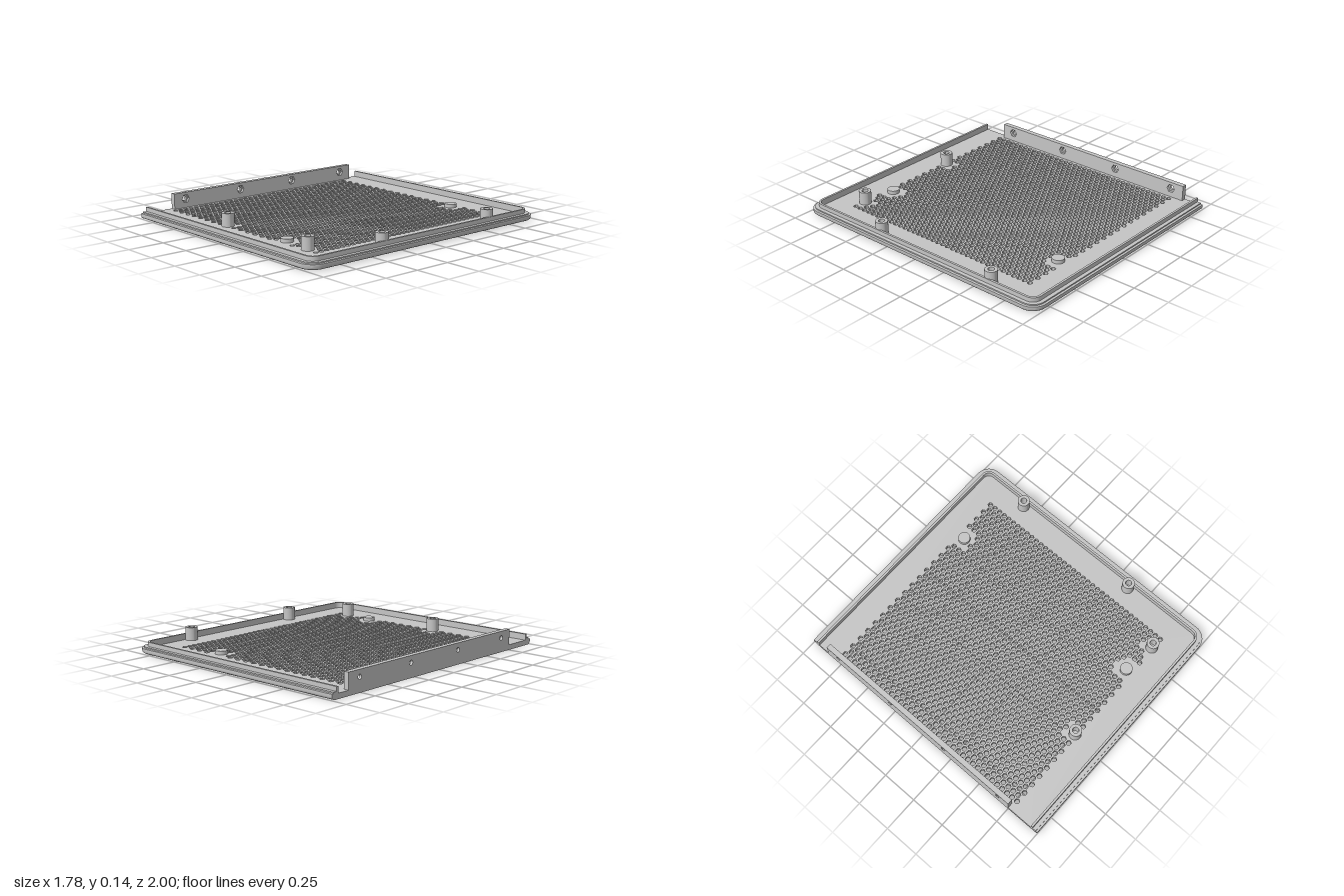
import * as THREE from 'three';
import { toCreasedNormals } from 'three/addons/utils/BufferGeometryUtils.js';

const X = 0.89, Z = 1, R = 0.1;            // half sizes and corner radius
const FLOOR = 0.035, LIP_IN = 0.055;       // floor height, inner inset of the lip
const grey = new THREE.MeshStandardMaterial({ color: 0xc5c5c5 });
grey.name = 'light grey plastic';

function add(parent, name, geometry, x = 0, y = 0, z = 0) {
  const mesh = new THREE.Mesh(geometry, grey);
  mesh.name = name;
  mesh.position.set(x, y, z);
  parent.add(mesh);
}

// Regular polygon path, first corner on the +x axis
function polygon(cx, cy, r, sides) {
  const pts = [];
  for (let i = 0; i < sides; i++) {
    const a = (i / sides) * Math.PI * 2;
    pts.push(new THREE.Vector2(cx + r * Math.cos(a), cy + r * Math.sin(a)));
  }
  return new THREE.Path(pts);
}

// Stations along the three finished edges: corner centre plus outward direction
function rimStations() {
  const s = [[-X, -Z + R, -Math.PI / 2]];
  const n = 10;
  for (const side of [-1, 1]) {
    for (let i = 0; i <= n; i++) {
      const a = (i / n) * Math.PI / 2 - (side < 0 ? Math.PI / 2 : 0);
      s.push([X - R, side * (Z - R), a]);
    }
  }
  s.push([-X, Z - R, Math.PI / 2]);
  return s;
}

const offset = ([cx, cz, a], inset) =>
  [cx + Math.cos(a) * (R - inset), cz + Math.sin(a) * (R - inset)];

// Rounded, stepped rim with an upright lip, swept around three sides
function rimGeometry() {
  const section = [[LIP_IN, 0]];           // [inset, y]
  for (let i = 0; i <= 6; i++) {
    const a = (i / 6) * Math.PI / 2;
    section.push([0.03 * (1 - Math.sin(a)), 0.02 * (1 - Math.cos(a))]);
  }
  section.push([0, 0.038], [0.014, 0.04], [0.014, 0.048], [0.04, 0.048],
    [0.04, 0.077], [LIP_IN, 0.077], [LIP_IN, FLOOR]);

  const stations = rimStations(), n = section.length, pos = [], idx = [];
  for (const st of stations) {
    for (const [inset, y] of section) {
      const [x, z] = offset(st, inset);
      pos.push(x, y, z);
    }
  }
  for (let i = 0; i < stations.length - 1; i++) {
    for (let j = 0; j < n - 1; j++) {
      const a = i * n + j, b = a + 1, c = a + n, d = c + 1;
      idx.push(a, b, c, b, d, c);
    }
  }
  // End caps on the open side
  const flat = section.map(([inset, y]) => new THREE.Vector2(-inset, y));
  const last = (stations.length - 1) * n;
  for (const [a, b, c] of THREE.ShapeUtils.triangulateShape(flat, [])) {
    idx.push(a, c, b, last + a, last + b, last + c);
  }
  const g = new THREE.BufferGeometry();
  g.setAttribute('position', new THREE.Float32BufferAttribute(pos, 3));
  g.setIndex(idx);
  return toCreasedNormals(g, 0.6);
}

// Floor plate with a honeycomb of vents, left solid around the posts
function floorGeometry(posts) {
  const outline = rimStations().map((st) => {
    const [x, z] = offset(st, LIP_IN);
    return new THREE.Vector2(x, -z);
  });
  const shape = new THREE.Shape(outline.reverse());
  const dx = 0.037, dz = 0.0427;
  for (let c = 0; c <= 40; c++) {
    const odd = c % 2;
    for (let r = 0; r < 37 - odd; r++) {
      const x = -0.82 + c * dx, z = -0.77 + (r + odd / 2) * dz;
      if (posts.some(([px, pz]) => Math.hypot(px - x, pz - z) < 0.07)) continue;
      shape.holes.push(polygon(x, -z, 0.0177, 6));
    }
  }
  const g = new THREE.ExtrudeGeometry(shape, { depth: FLOOR, bevelEnabled: false });
  return g.rotateX(-Math.PI / 2);
}

// One layer of the upright flange, pierced by a row of holes
function flangeLayer(depth, radius, sides) {
  const y0 = FLOOR, y1 = 0.143, z0 = -0.858, z1 = 0.752;
  const shape = new THREE.Shape([
    new THREE.Vector2(-z1, y0), new THREE.Vector2(-z0, y0),
    new THREE.Vector2(-z0, y1), new THREE.Vector2(-z1, y1),
  ]);
  for (let i = 0; i < 4; i++) {
    shape.holes.push(polygon(0.76 - i * 0.473, 0.097, radius, sides));
  }
  const g = new THREE.ExtrudeGeometry(shape, { depth, bevelEnabled: false });
  return g.rotateY(Math.PI / 2);
}

export function createModel() {
  const model = new THREE.Group();
  model.name = 'ventedCover';

  const screwPosts = [[-0.228, 0.76], [0.577, 0.76], [0.805, -0.585], [0.805, 0.362]];
  const pads = [[0.341, -0.732], [0.341, 0.729]];

  add(model, 'rim', rimGeometry());
  add(model, 'ventedFloor', floorGeometry([...screwPosts, ...pads]));

  // Flange: round screw holes outside, hexagonal nut pockets inside
  const flange = new THREE.Group();
  flange.name = 'flange';
  model.add(flange);
  add(flange, 'flangeOuter', flangeLayer(0.018, 0.016, 24), -X);
  add(flange, 'flangeInner', flangeLayer(0.018, 0.03, 6), -X + 0.018);

  // Hollow screw posts with blind holes
  const profile = [[0.042, FLOOR], [0.042, 0.125], [0.021, 0.125], [0.021, FLOOR + 0.005], [0, FLOOR + 0.005]]
    .map(([r, y]) => new THREE.Vector2(r, y));
  const postGeometry = toCreasedNormals(new THREE.LatheGeometry(profile, 32), 0.6);
  for (const [x, z] of screwPosts) add(model, 'screwPost', postGeometry, x, 0, z);

  // Low solid pads
  const padGeometry = new THREE.CylinderGeometry(0.042, 0.042, 0.025, 32);
  for (const [x, z] of pads) add(model, 'pad', padGeometry, x, FLOOR + 0.0125, z);

  return model;
}
